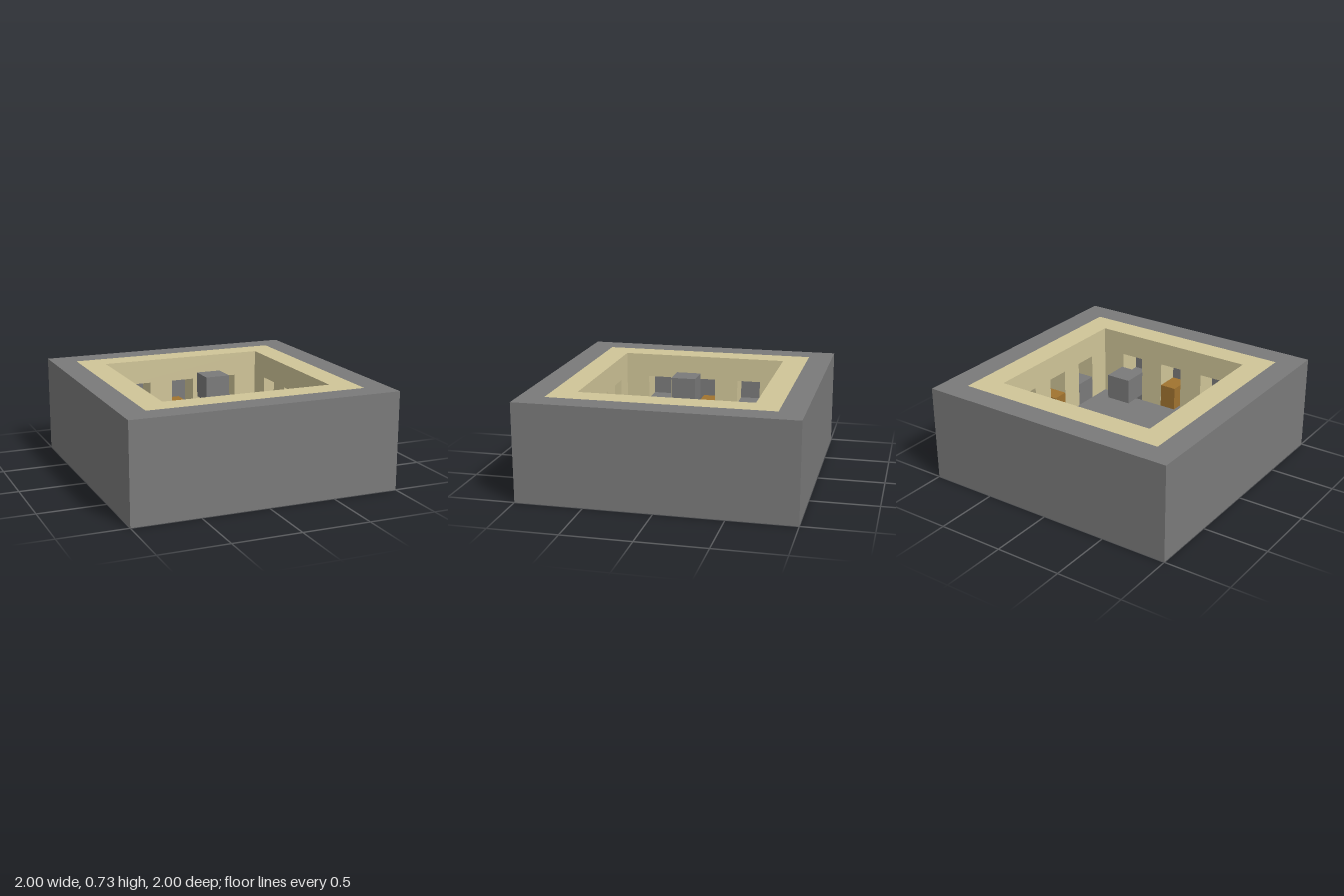
import * as THREE from 'three';

const U = 2 / 11; // one block of the grid

export function createModel() {
  const stone = new THREE.MeshStandardMaterial({ color: 0x7a7a7a });
  stone.name = 'grey stone';
  const sand = new THREE.MeshStandardMaterial({ color: 0xd0c598 });
  sand.name = 'pale sandstone';
  const wood = new THREE.MeshStandardMaterial({ color: 0xa0732f });
  wood.name = 'brown wood';

  const model = new THREE.Group();
  model.name = 'courtyardRoom';

  // Box measured in blocks, with x and z at its centre and y at its base
  const box = (parent, name, material, w, h, d, x, y, z) => {
    const mesh = new THREE.Mesh(new THREE.BoxGeometry(w * U, h * U, d * U), material);
    mesh.position.set(x * U, (y + h / 2) * U, z * U);
    mesh.name = name;
    parent.add(mesh);
  };

  // Floor slab and the block hanging over its centre
  box(model, 'floor', stone, 11, 1, 11, 0, 0, 0);
  box(model, 'floatingBlock', stone, 1, 1, 1, 0, 3, 0);

  // Inner wall outline: one corner included, three doorways cut up from the floor
  const outline = [[-4.5, 1]];
  for (const x of [-2, 0, 2]) {
    outline.push([x - 0.5, 1], [x - 0.5, 3], [x + 0.5, 3], [x + 0.5, 1]);
  }
  outline.push([3.5, 1], [3.5, 4], [-4.5, 4]);
  const wallShape = new THREE.Shape(outline.map(([x, y]) => new THREE.Vector2(x * U, y * U)));
  const wallGeometry = new THREE.ExtrudeGeometry(wallShape, { depth: U, bevelEnabled: false });

  // Four equal sides, turned about the centre
  for (let i = 0; i < 4; i++) {
    const side = new THREE.Group();
    side.name = 'side' + (i + 1);
    side.rotation.y = (i * Math.PI) / 2;

    box(side, 'outerWall', stone, 10, 3, 1, -0.5, 1, -5);

    const wall = new THREE.Mesh(wallGeometry, sand);
    wall.name = 'innerWall';
    wall.position.z = -4.5 * U;
    side.add(wall);

    // Blocks standing in the lower half of the niches
    for (const x of [-2, 2]) box(side, 'nicheBlock', stone, 0.98, 1, 0.99, x, 1, -4);
    box(side, 'chest', wood, 0.7, 1, 0.99, i % 2 ? 0.15 : -0.15, 1, -4);
    model.add(side);
  }
  return model;
}
